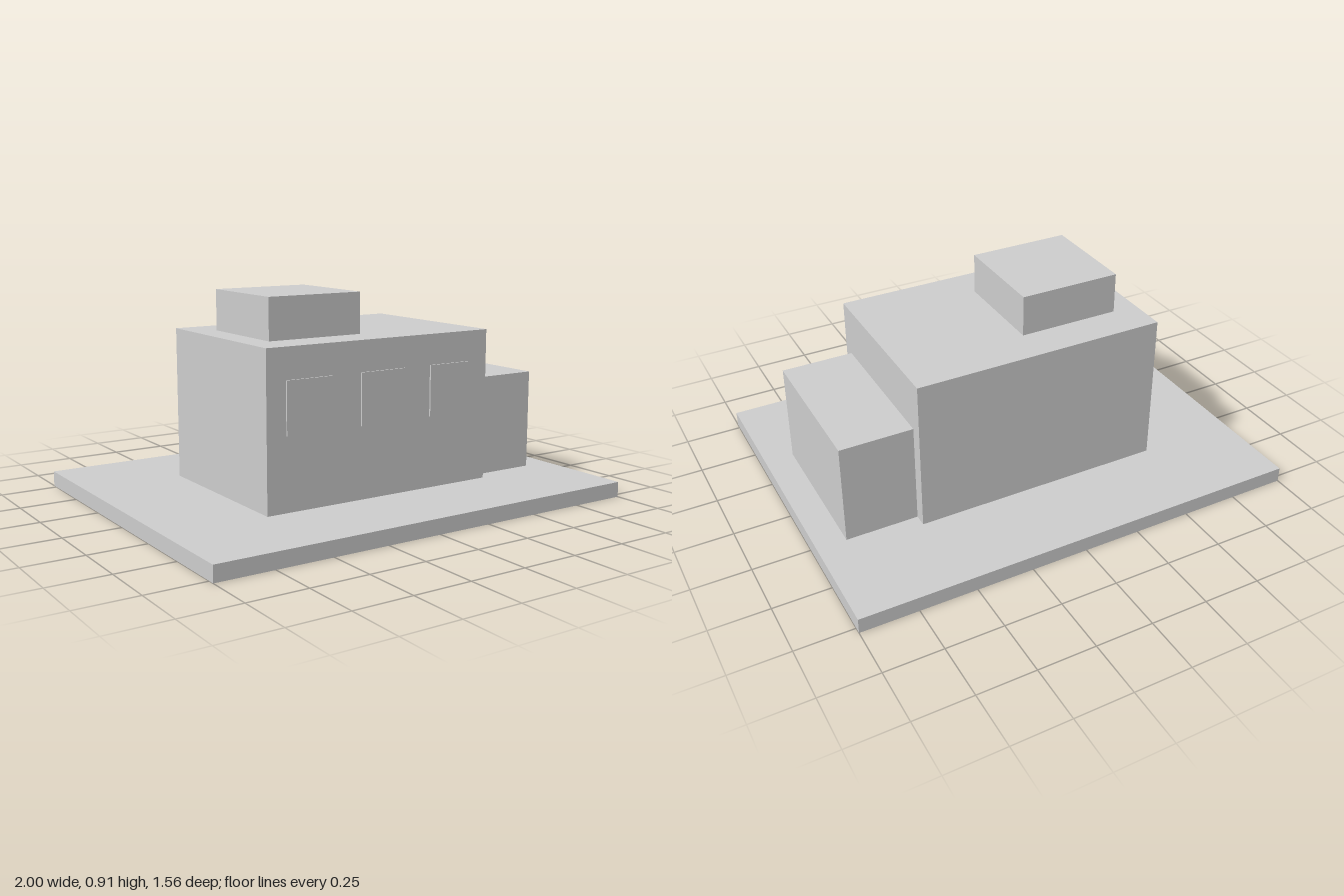
import * as THREE from 'three';

export function createModel() {
  const model = new THREE.Group();
  const grey = new THREE.MeshStandardMaterial({ color: 0xcccccc });
  grey.name = 'light grey';

  // Box given by its extents along each axis
  function block(name, [x0, x1], [y0, y1], [z0, z1]) {
    const mesh = new THREE.Mesh(new THREE.BoxGeometry(x1 - x0, y1 - y0, z1 - z0), grey);
    mesh.position.set((x0 + x1) / 2, (y0 + y1) / 2, (z0 + z1) / 2);
    mesh.name = name;
    model.add(mesh);
  }

  const ground = 0.067, roof = 0.733, front = 0.389;

  block('groundSlab', [-1, 1], [0, ground], [-0.778, 0.778]);
  block('mainBuilding', [-0.556, 0.556], [ground, roof], [-front, front]);
  block('sideAnnex', [0.556, 0.872], [ground, 0.511], [-0.333, 0.333]);
  block('roofBox', [-0.444, 0], [roof, 0.911], [-0.222, 0.222]);

  // Row of three thin window plates on the front wall
  for (const i of [-1, 0, 1]) {
    const x = i * 0.356;
    block('window', [x - 0.111, x + 0.111], [0.379, 0.601], [front, front + 0.007]);
  }

  return model;
}
